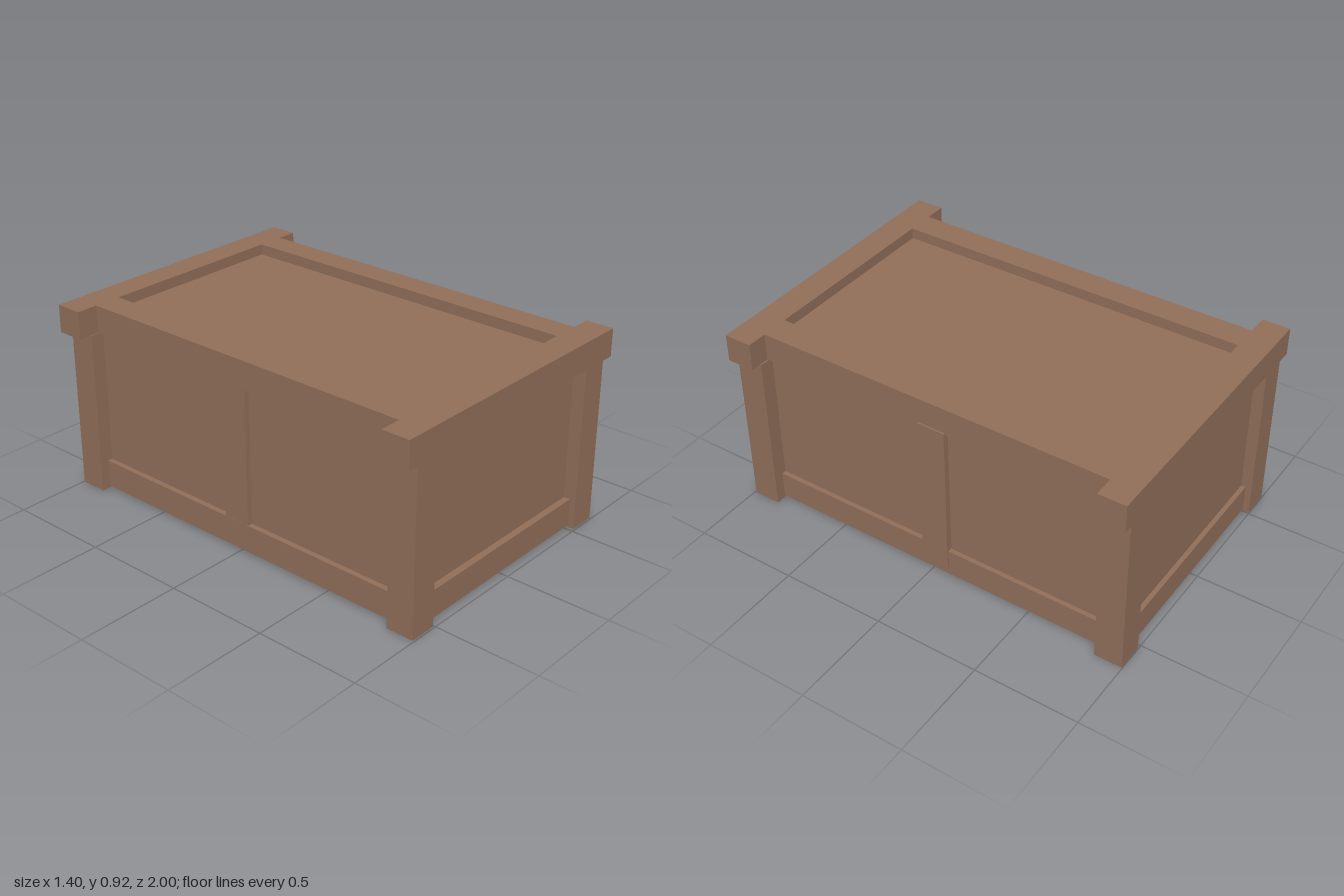
import * as THREE from 'three';

export function createModel() {
  const model = new THREE.Group();
  const wood = new THREE.MeshStandardMaterial({ color: 0x916e59 });
  wood.name = 'brown wood';

  // Axis-aligned beam given by its limits on each axis
  const beam = (name, [x0, x1], [y0, y1], [z0, z1]) => {
    const mesh = new THREE.Mesh(new THREE.BoxGeometry(x1 - x0, y1 - y0, z1 - z0), wood);
    mesh.position.set((x0 + x1) / 2, (y0 + y1) / 2, (z0 + z1) / 2);
    mesh.name = name;
    model.add(mesh);
  };

  const topY = [0.79, 0.922];
  const railY = [0.01, 0.142];

  // Recessed panels: one closed body behind the frame
  beam('panelBody', [-0.57, 0.58], [0.1, 0.87], [-0.945, 0.93]);

  // Overhanging top beams across the two ends
  beam('frontTopBeam', [-0.7, 0.7], topY, [0.866, 1]);
  beam('backTopBeam', [-0.7, 0.7], topY, [-1, -0.868]);

  // Corner posts
  for (const [xName, xs] of [['Right', [-0.638, -0.506]], ['Left', [0.52, 0.652]]]) {
    beam('front' + xName + 'Post', xs, [0, 0.79], [0.859, 0.992]);
    beam('back' + xName + 'Post', xs, [0, 0.79], [-0.997, -0.864]);
  }

  // Long side rails, top and bottom
  for (const [side, xs] of [['right', [-0.596, -0.464]], ['left', [0.47, 0.602]]]) {
    beam(side + 'TopRail', xs, topY, [-0.868, 0.866]);
    beam(side + 'BottomRail', xs, railY, [-0.9, 0.9]);
  }

  // Bottom rails of the two ends
  beam('frontBottomRail', [-0.507, 0.521], railY, [0.83, 0.962]);
  beam('backBottomRail', [-0.507, 0.521], railY, [-0.967, -0.835]);

  // Middle uprights on the long sides
  beam('leftMiddlePost', [0.48, 0.61], [0.05, 0.8], [-0.087, 0.046]);
  beam('rightMiddlePost', [-0.595, -0.465], [0.142, 0.8], [-0.087, 0.046]);

  return model;
}
